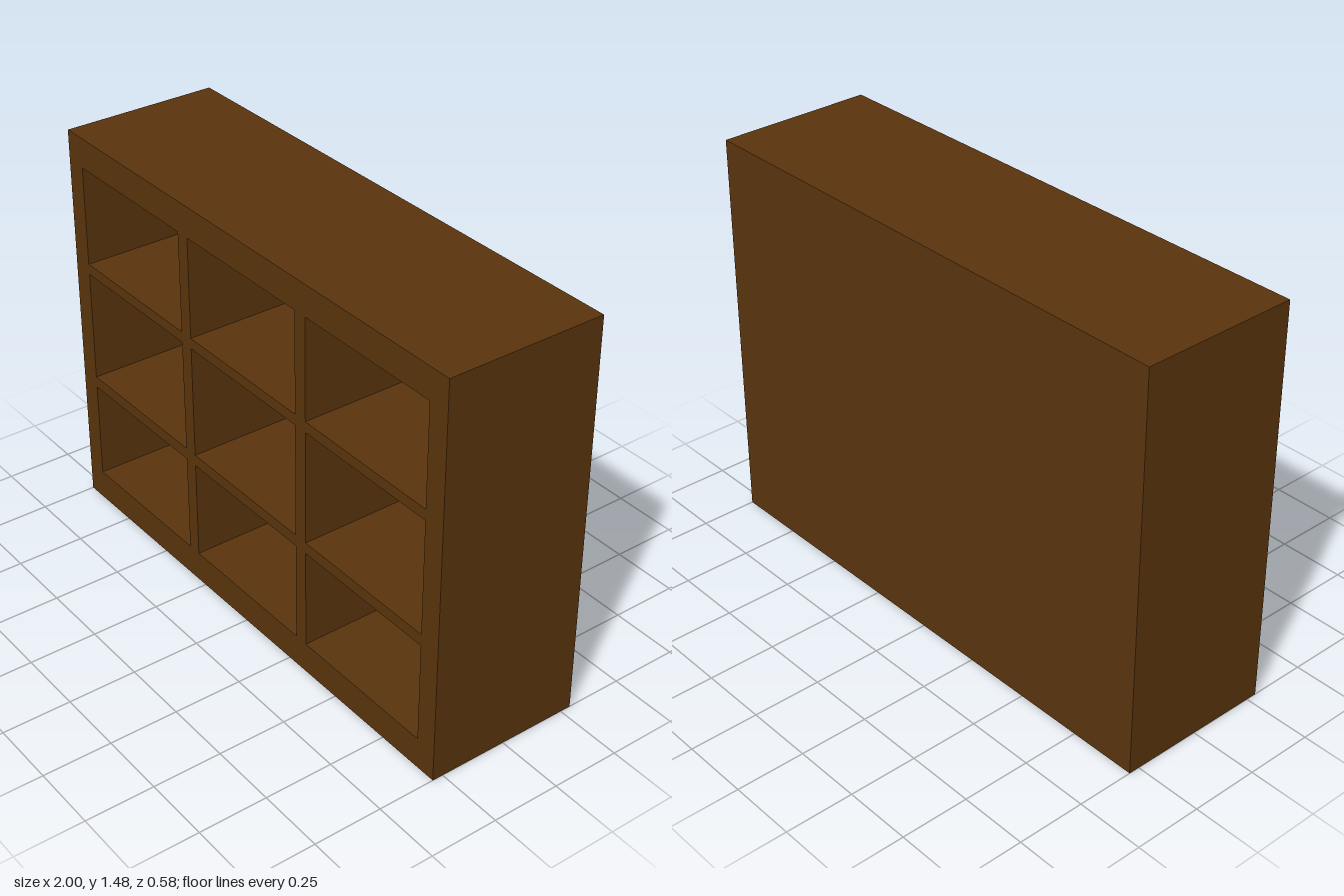
import * as THREE from 'three';

const WIDTH = 2, HEIGHT = 1.475, DEPTH = 0.58, BACK = 0.04;
// Opening limits of the three columns and the three rows
const COLUMNS = [[-0.92, -0.34], [-0.287, 0.287], [0.34, 0.92]];
const ROWS = [[0.115, 0.487], [0.53, 0.952], [0.992, 1.363]];

function rectangle(path, x0, y0, x1, y1) {
  path.moveTo(x0, y0);
  path.lineTo(x1, y0);
  path.lineTo(x1, y1);
  path.lineTo(x0, y1);
  path.closePath();
  return path;
}

export function createModel() {
  const group = new THREE.Group();
  group.name = 'cubbyShelf';
  const wood = new THREE.MeshStandardMaterial({ color: 0x59340d });
  wood.name = 'darkBrownWood';

  // Outer frame with shelves and dividers: one face pierced by nine openings
  const face = rectangle(new THREE.Shape(), -WIDTH / 2, 0, WIDTH / 2, HEIGHT);
  for (const [x0, x1] of COLUMNS) {
    for (const [y0, y1] of ROWS) {
      face.holes.push(rectangle(new THREE.Path(), x0, y0, x1, y1));
    }
  }
  const frame = new THREE.Mesh(
    new THREE.ExtrudeGeometry(face, { depth: DEPTH - BACK, bevelEnabled: false }), wood);
  frame.name = 'shelfFrame';
  frame.position.z = -DEPTH / 2 + BACK;
  group.add(frame);

  // Solid back panel closing the compartments
  const back = new THREE.Mesh(new THREE.BoxGeometry(WIDTH, HEIGHT, BACK), wood);
  back.name = 'backPanel';
  back.position.set(0, HEIGHT / 2, -DEPTH / 2 + BACK / 2);
  group.add(back);

  return group;
}
